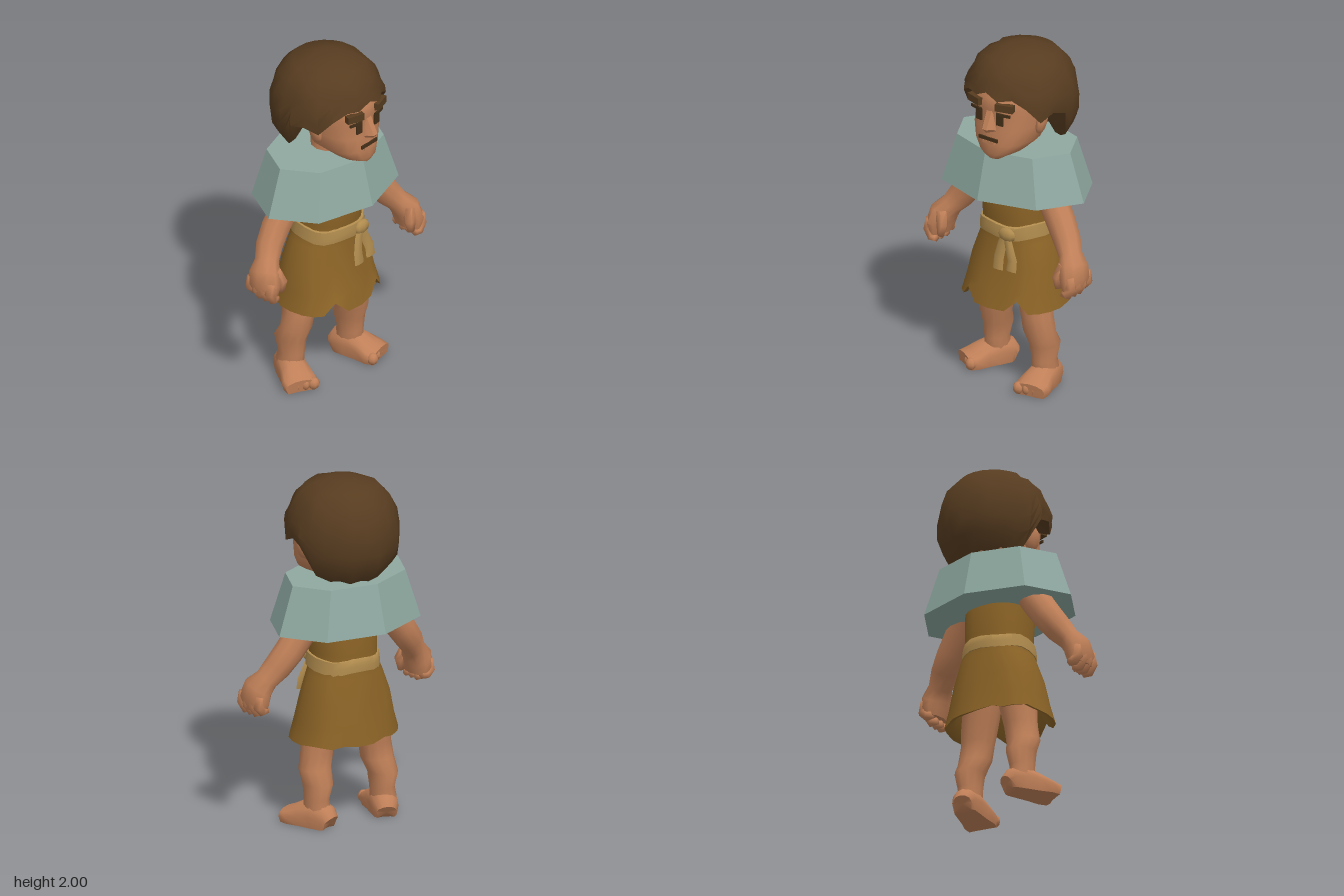
import * as THREE from 'three';
import { toCreasedNormals } from 'three/addons/utils/BufferGeometryUtils.js';
import { ConvexGeometry } from 'three/addons/geometries/ConvexGeometry.js';

const mat = (name, color) => { const m = new THREE.MeshStandardMaterial({ color }); m.name = name; return m; };
const V = (x, y, z) => new THREE.Vector3(x, y, z);

// Horizontal ring from [x, y, z, rx, rz]; p below 1 makes it boxier
function flatRing([x, y, z, rx, rz], n = 12, p = 1) {
  const soft = (v) => Math.sign(v) * Math.pow(Math.abs(v), p);
  return Array.from({ length: n }, (_, j) => {
    const a = (j / n) * Math.PI * 2;
    return V(x + rx * soft(Math.cos(a)), y, z + rz * soft(Math.sin(a)));
  });
}

// Rings square to a path of [x, y, z, halfWidth, halfDepth]
function pathRings(path, n = 10, ref = V(0, 0, 1)) {
  const c = path.map((s) => V(s[0], s[1], s[2]));
  return path.map((s, i) => {
    const t = c[Math.min(i + 1, c.length - 1)].clone().sub(c[Math.max(i - 1, 0)]).normalize();
    const u = ref.clone().cross(t).normalize(), v = t.clone().cross(u);
    return Array.from({ length: n }, (_, j) => {
      const a = (j / n) * Math.PI * 2;
      return c[i].clone().addScaledVector(u, s[3] * Math.cos(a)).addScaledVector(v, s[4] * Math.sin(a));
    });
  });
}

// Closed surface through a list of rings
function skinRings(rings, crease = 1) {
  const n = rings[0].length, pts = rings.flat(), index = [];
  for (let i = 0; i < rings.length - 1; i++) for (let j = 0; j < n; j++) {
    const k = (j + 1) % n, a = i * n + j, b = i * n + k, c = b + n, d = a + n;
    index.push(a, b, c, a, c, d);
  }
  const mid = (r) => r.reduce((s, q) => s.add(q), V(0, 0, 0)).divideScalar(n);
  const last = (rings.length - 1) * n, top = pts.length;
  pts.push(mid(rings[0]), mid(rings[rings.length - 1]));
  for (let j = 0; j < n; j++) {
    const k = (j + 1) % n;
    index.push(top, k, j, top + 1, last + j, last + k);
  }
  const g = new THREE.BufferGeometry().setFromPoints(pts);
  g.setIndex(index);
  return toCreasedNormals(g, crease);
}

export function createModel() {
  const skin = mat('skin', 0xc08058), hairMat = mat('hair brown', 0x573c20), tunicMat = mat('tunic ochre', 0x8b6326);
  const beltMat = mat('belt tan', 0xb18c4e), capeMat = mat('cape grey green', 0x8ea8a0), dark = mat('dark brown', 0x432f18);
  const root = new THREE.Group();
  const add = (name, geo, material, parent = root) => {
    const m = new THREE.Mesh(geo, material);
    m.name = name;
    parent.add(m);
    return m;
  };
  const blob = (name, material, pos, scale, parent = root) => {
    const m = add(name, new THREE.SphereGeometry(1, 8, 6), material, parent);
    m.position.set(...pos);
    m.scale.set(...scale);
    return m;
  };
  const plate = (name, material, pos, size, yaw = 0) => {
    const m = add(name, new THREE.BoxGeometry(...size), material);
    m.position.set(...pos);
    m.rotation.y = yaw;
    return m;
  };

  // Tunic with a flared skirt, ragged hem and hollow underside
  const tunic = [
    [0.01, 1.4, 0.02, 0.17, 0.13], [0.01, 1.17, 0.02, 0.188, 0.18], [0.01, 1.0, 0.01, 0.185, 0.175],
    [0.01, 0.93, 0.005, 0.185, 0.17], [0.01, 0.87, 0, 0.213, 0.178], [0.005, 0.73, 0, 0.262, 0.2],
    [0.005, 0.6, 0.005, 0.285, 0.225], [0.005, 0.5, 0.01, 0.312, 0.245],
    [0.005, 0.51, 0.01, 0.285, 0.22], [0, 0.64, 0, 0.24, 0.18],
  ].map((s) => flatRing(s, 24, 0.85));
  for (const r of [7, 8]) tunic[r].forEach((q, j) => {
    if (j === 4 || j === 8) q.y += 0.06;
    else if (j > 12) q.y += 0.008 * Math.sin(j * 2.3);
    else q.y -= 0.008;
  });
  for (const r of [5, 6, 7, 8]) tunic[r].forEach((q, j) => { q.z *= 1 + 0.04 * Math.sin(j * 1.57 + r * 0.6); });
  add('tunic', skinRings(tunic), tunicMat);

  // Belt with knot and two hanging tails
  const belt = [[0.01, 0.985, 0.01, 0.17, 0.16], [0.01, 0.975, 0.012, 0.195, 0.182], [0.01, 0.935, 0.012, 0.2, 0.188],
    [0.01, 0.9, 0.01, 0.203, 0.185], [0.01, 0.89, 0.01, 0.18, 0.16]].map((s) => flatRing(s, 20, 0.85));
  belt.forEach((r) => r.forEach((q, j) => { q.y += 0.008 * Math.sin(j * 1.3); }));
  add('belt', skinRings(belt), beltMat);
  blob('beltKnot', beltMat, [0.085, 0.93, 0.19], [0.06, 0.042, 0.028]);
  for (const [x, y] of [[0.04, 0.72], [0.135, 0.73]])
    add('beltTail', skinRings(pathRings([[0.08, 0.95, 0.19, 0.022, 0.015], [0.075 + (x - 0.08) * 0.5, 0.87, 0.195, 0.03, 0.016],
      [x, 0.79, 0.205, 0.034, 0.016], [x, y, 0.215, 0.036, 0.01]], 6)), beltMat);

  // Eight-sided shoulder cape
  const cape = new THREE.CylinderGeometry(0.38, 0.477, 0.275, 8).scale(1, 1, 0.722).toNonIndexed();
  cape.computeVertexNormals();
  add('shoulderCape', cape, capeMat).position.y = 1.303;

  // Arms and chunky fists; zs are the depths from shoulder to fist
  function arm(side, name, zs) {
    const g = new THREE.Group();
    g.name = name;
    root.add(g);
    const path = [[0.19, 1.26, 0.08, 0.08], [0.28, 1.15, 0.088, 0.08], [0.36, 1.04, 0.085, 0.08], [0.425, 0.955, 0.078, 0.077],
      [0.475, 0.89, 0.064, 0.07], [0.515, 0.84, 0.075, 0.095], [0.53, 0.78, 0.068, 0.105], [0.53, 0.725, 0.05, 0.09]];
    add('armAndPalm', skinRings(pathRings(path.map(([x, y, w, d], i) => [side * x, y, zs[i], w, d]))), skin, g);
    const hz = zs[6];
    for (let i = 0; i < 4; i++) {
      const z = hz - 0.07 + i * 0.046, drop = i === 0 ? 0.02 : 0;
      add('finger', skinRings(pathRings([[side * 0.55, 0.81, z, 0.03, 0.03], [side * 0.562, 0.75, z, 0.033, 0.03],
        [side * 0.535, 0.705 + drop, z, 0.03, 0.03], [side * 0.505, 0.705 + drop, z, 0.022, 0.024]], 6), 1.6), skin, g);
    }
    add('thumb', skinRings(pathRings([[side * 0.49, 0.86, hz + 0.045, 0.035, 0.035], [side * 0.465, 0.79, hz + 0.07, 0.032, 0.033],
      [side * 0.475, 0.73, hz + 0.07, 0.02, 0.02]], 6), 1.6), skin, g);
  }
  arm(1, 'leftArm', [0, 0.035, 0.055, 0.08, 0.11, 0.135, 0.145, 0.145]);
  arm(-1, 'rightArm', [-0.02, -0.04, -0.05, -0.04, -0.015, 0.005, 0.015, 0.015]);

  // Legs, feet and toes
  function leg(side, name, dz, turn) {
    const g = new THREE.Group();
    g.name = name;
    root.add(g);
    add('leg', skinRings([[0.13, 0.7, 0.03, 0.11, 0.11], [0.16, 0.52, 0.035, 0.103, 0.1], [0.172, 0.43, 0.037, 0.093, 0.093],
      [0.19, 0.33, 0.035, 0.097, 0.086], [0.2, 0.25, 0, 0.08, 0.097], [0.202, 0.16, 0.008, 0.066, 0.08],
      [0.205, 0.1, 0, 0.07, 0.085], [0.205, 0.02, -0.01, 0.06, 0.07]].map(([x, y, z, a, b]) => flatRing([side * x, y, z + dz, a, b]))), skin, g);
    const foot = new THREE.Group();
    foot.name = 'foot';
    foot.position.set(side * 0.205, 0, dz);
    foot.rotation.y = turn;
    g.add(foot);
    const rings = pathRings([[0, 0.04, -0.095, 0.055, 0.045], [0, 0.06, -0.07, 0.072, 0.07], [0, 0.07, 0, 0.08, 0.085],
      [0, 0.062, 0.08, 0.088, 0.068], [0, 0.044, 0.15, 0.103, 0.048], [0, 0.038, 0.195, 0.095, 0.038]], 12, V(0, 1, 0));
    rings.forEach((r) => r.forEach((q) => { if (q.y < 0.03) q.y = 0; }));
    add('footBody', skinRings(rings), skin, foot);
    for (let i = 0; i < 4; i++)
      blob('toe', skin, [side * (-0.07 + i * 0.046), 0.036, 0.186 - i * 0.01], [i ? 0.027 : 0.034, 0.036, 0.032], foot);
  }
  leg(1, 'leftLeg', 0, 0.2);
  leg(-1, 'rightLeg', -0.08, -0.5);

  // Neck and head
  add('neck', skinRings([[0.02, 1.55, 0.02, 0.1, 0.1], [0.02, 1.38, 0.01, 0.11, 0.11]].map((s) => flatRing(s))), skin);
  add('head', skinRings([[0.035, 1.86, 0.08, 0.14, 0.15], [0.035, 1.77, 0.1, 0.17, 0.185], [0.035, 1.71, 0.1, 0.178, 0.19],
    [0.035, 1.66, 0.1, 0.175, 0.178], [0.035, 1.59, 0.1, 0.175, 0.188], [0.035, 1.5, 0.11, 0.16, 0.178],
    [0.04, 1.445, 0.16, 0.11, 0.132], [0.04, 1.41, 0.2, 0.055, 0.075]].map((s) => flatRing(s, 16, 0.75))), skin);
  add('nose', toCreasedNormals(new ConvexGeometry([V(0.02, 1.71, 0.28), V(0.055, 1.71, 0.28), V(0.025, 1.6, 0.333), V(0.055, 1.6, 0.333),
    V(-0.005, 1.585, 0.28), V(0.085, 1.585, 0.28), V(0.0, 1.6, 0.3), V(0.08, 1.6, 0.3), V(0.04, 1.575, 0.315)]), 0.6), skin);

  // Ears, eyes and brows on both sides
  for (const s of [-1, 1]) {
    const ear = blob(s > 0 ? 'leftEar' : 'rightEar', skin, [0.035 + s * 0.2, 1.615, 0.07], [0.03, 0.072, 0.052]);
    ear.rotation.set(-0.15, s * 0.35, -s * 0.15);
    plate('eye', dark, [0.035 + s * 0.073, 1.662, 0.28], [0.042, 0.075, 0.009], s * 0.1);
    plate('eyeLid', dark, [0.035 + s * 0.098, 1.69, 0.278], [0.08, 0.016, 0.009], s * 0.25);
    plate('eyebrow', hairMat, [0.035 + s * 0.105, 1.738, 0.275], [0.105, 0.042, 0.035], s * 0.3);
  }
  plate('mouth', dark, [0.035, 1.53, 0.29], [0.13, 0.02, 0.009]);
  plate('lowerLip', skin, [0.035, 1.51, 0.284], [0.08, 0.018, 0.02]);

  // Bushy hair: lower edge rises over the face and ears, falls at the nape
  const edge = [1.81, 1.775, 1.785, 1.74, 1.65, 1.69, 1.67, 1.5, 1.46, 1.475, 1.45, 1.465, 1.45];
  const profile = [[2.0, 0.07], [1.965, 0.19], [1.9, 0.255], [1.82, 0.29], [1.75, 0.312], [1.6, 0.305], [1.52, 0.275], [1.44, 0.2]];
  const radius = (y) => {
    let i = 0;
    while (i < profile.length - 2 && y < profile[i + 1][0]) i++;
    const [[y0, r0], [y1, r1]] = [profile[i], profile[i + 1]];
    return r0 + ((r1 - r0) * (y0 - y)) / (y0 - y1);
  };
  const hairRing = (t, inner = 1) => Array.from({ length: 24 }, (_, j) => {
    const a = (j / 24) * Math.PI * 2, y = 2 - (2 - edge[Math.abs(((j + 6) % 24) - 12)]) * t;
    const lump = 1 + (t > 0.1 ? 0.025 * Math.sin(j * 2.1 + t * 9) : 0), r = radius(y) * inner * lump;
    return V(0.028 + r * Math.cos(a), y, -0.008 + r * 1.05 * Math.sin(a));
  });
  const hair = [0, 0.07, 0.2, 0.36, 0.52, 0.68, 0.84, 1].map((t) => hairRing(t));
  hair.push(hairRing(0.97, 0.8), hairRing(0.8, 0.45));
  add('hair', skinRings(hair, 0.8), hairMat);

  return root;
}
